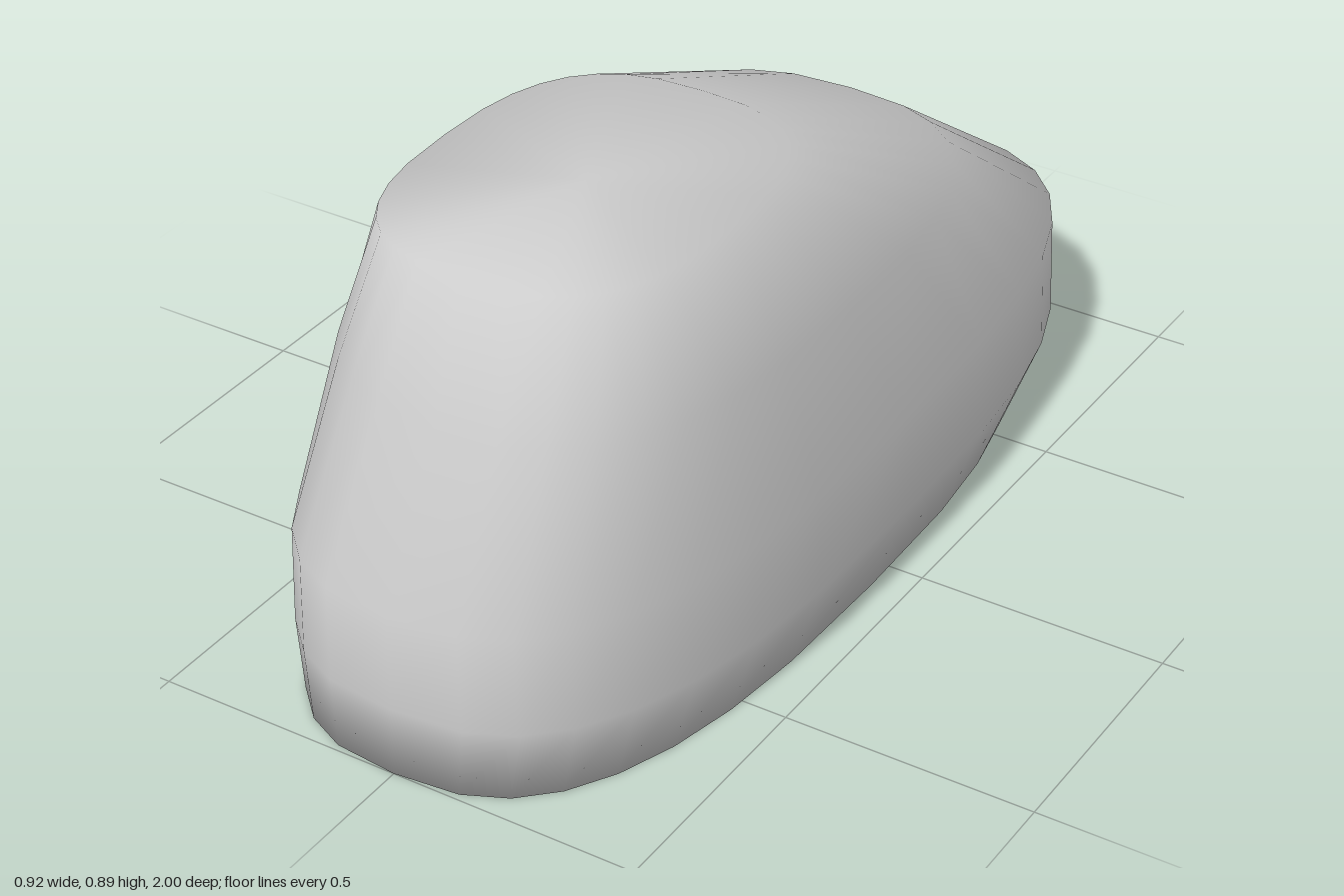
import * as THREE from 'three';

const SIDES = 32;
const ROUNDNESS = 0.73; // below 1 gives a squarish oval

// Horizontal cross-sections, bottom to top: height, half width, back z, front z
const SECTIONS = [
  [0, 0.43, -0.86, 1],
  [0.14, 0.462, -1, 1],
  [0.34, 0.453, -1, 1],
  [0.64, 0.408, -0.57, 0.84],
  [0.888, 0.303, -0.02, 0.75],
];

const soften = (v) => Math.sign(v) * Math.pow(Math.abs(v), ROUNDNESS);

function loftedBody() {
  const positions = [];
  const index = [];
  for (const [y, halfWidth, back, front] of SECTIONS) {
    for (let j = 0; j < SIDES; j++) {
      const t = (j / SIDES) * Math.PI * 2;
      positions.push(
        halfWidth * soften(Math.cos(t)),
        y,
        (front + back) / 2 + ((front - back) / 2) * soften(Math.sin(t))
      );
    }
  }

  // Centre points of the bottom and top caps
  const last = SECTIONS.length - 1;
  const bottom = SECTIONS.length * SIDES;
  const top = bottom + 1;
  for (const [y, , back, front] of [SECTIONS[0], SECTIONS[last]]) {
    positions.push(0, y, (front + back) / 2);
  }

  for (let j = 0; j < SIDES; j++) {
    const k = (j + 1) % SIDES;
    // Side wall
    for (let i = 0; i < last; i++) {
      const a = i * SIDES + j, b = i * SIDES + k;
      const c = a + SIDES, d = b + SIDES;
      index.push(a, c, b, b, c, d);
    }
    // Caps share the rim vertices so the shading stays soft
    index.push(bottom, j, k);
    index.push(top, last * SIDES + k, last * SIDES + j);
  }

  const geometry = new THREE.BufferGeometry();
  geometry.setAttribute('position', new THREE.Float32BufferAttribute(positions, 3));
  geometry.setIndex(index);
  geometry.computeVertexNormals();
  return geometry;
}

export function createModel() {
  const group = new THREE.Group();
  const body = new THREE.Mesh(
    loftedBody(),
    new THREE.MeshStandardMaterial({ color: 0xcccccc })
  );
  body.name = 'body';
  group.add(body);
  return group;
}
